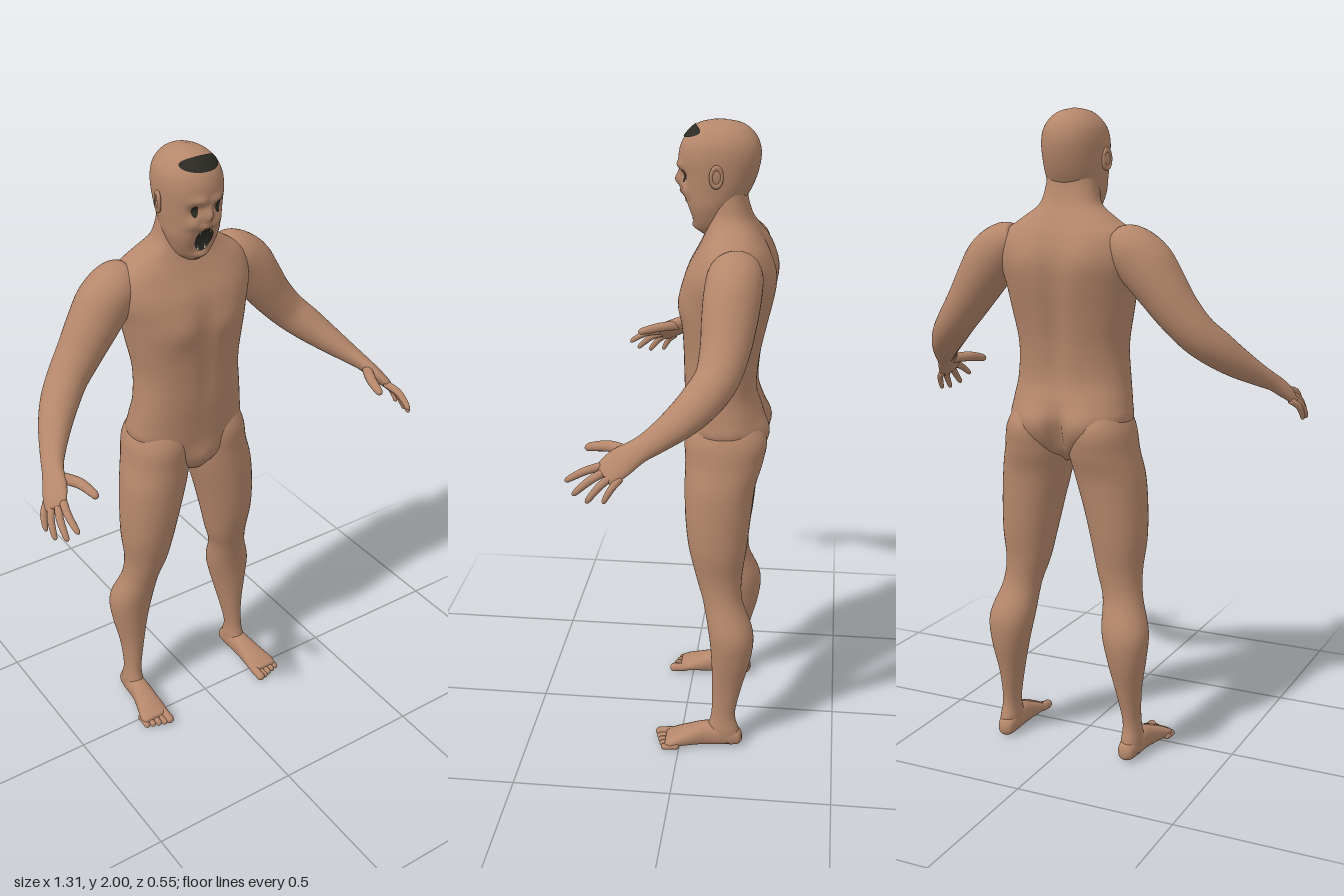
import * as THREE from 'three';

const V = (x, y, z) => new THREE.Vector3(x, y, z);
const mat = (name, color) => {
  const m = new THREE.MeshStandardMaterial({ color });
  m.name = name;
  return m;
};

// Soft bump centred on (x, y), mirrored over the middle plane
const bell = (p, x, y, sx, sy) =>
  Math.exp(-(((Math.abs(p.x) - x) / sx) ** 2) - ((p.y - y) / sy) ** 2);

// Surface through rows [x, y, z, halfWidth, halfDepth]; front sets the depth
// direction, axis fixes the ring plane (otherwise rings follow the path)
function sampler(rows, front, axis, power = 2, bump) {
  const path = new THREE.CatmullRomCurve3(rows.map(r => V(r[0], r[1], r[2])), false, 'catmullrom', 0.5);
  const size = new THREE.CatmullRomCurve3(rows.map(r => V(r[3], r[4], 0)), false, 'catmullrom', 0.5);
  const round = c => Math.sign(c) * Math.abs(c) ** (2 / power);
  const at = (t, angle) => {
    const T = axis || path.getTangent(t);
    const F = front.clone().addScaledVector(T, -front.dot(T)).normalize();
    const U = F.clone().cross(T).normalize();
    const s = size.getPoint(t);
    const p = path.getPoint(t)
      .addScaledVector(U, s.x * round(Math.cos(angle)))
      .addScaledVector(F, s.y * round(Math.sin(angle)));
    if (bump) bump(p);
    return p;
  };
  return { at, path };
}

function loft(rows, { front, axis, power, bump, sides = 32, steps = 5 }) {
  const { at, path } = sampler(rows, front, axis, power, bump);
  const n = sides, m = (rows.length - 1) * steps;
  const pos = [], idx = [];
  for (let j = 0; j <= m; j++)
    for (let i = 0; i < n; i++) pos.push(...at(j / m, (i / n) * Math.PI * 2).toArray());
  pos.push(...path.getPoint(0).toArray(), ...path.getPoint(1).toArray());
  const first = n * (m + 1), last = first + 1;
  for (let i = 0; i < n; i++) {
    const k = (i + 1) % n;
    for (let j = 0; j < m; j++) {
      const a = j * n + i, b = j * n + k;
      idx.push(a, b, b + n, a, b + n, a + n);
    }
    idx.push(first, k, i, last, m * n + i, m * n + k);
  }
  const g = new THREE.BufferGeometry();
  g.setAttribute('position', new THREE.Float32BufferAttribute(pos, 3));
  g.setIndex(idx);
  g.computeVertexNormals();
  return g;
}

// Rows given as [x, y, halfWidth, frontZ, backZ]
const upright = rows => rows.map(([x, y, w, f, b]) => [x, y, (f + b) / 2, w, (f - b) / 2]);

export function createModel() {
  const group = new THREE.Group();
  const skin = mat('skin', 0xb5876b);
  const dark = mat('dark', 0x2b2a24);
  const ivory = mat('ivory', 0xcfc3ae);
  const add = (name, geometry, material = skin) => {
    const mesh = new THREE.Mesh(geometry, material);
    mesh.name = name;
    group.add(mesh);
    return mesh;
  };
  const X = V(1, 0, 0), Y = V(0, 1, 0), Z = V(0, 0, 1);

  // Torso and neck with chest, spine and seat modelling
  add('torso', loft(upright([
    [0, 0.94, 0.04, -0.04, -0.16], [0, 0.99, 0.13, -0.012, -0.225], [0, 1.07, 0.192, -0.004, -0.25],
    [0, 1.13, 0.19, 0, -0.24], [0, 1.2, 0.18, 0.005, -0.222], [0, 1.3, 0.174, 0.008, -0.23],
    [0, 1.4, 0.19, 0.012, -0.25], [0, 1.48, 0.205, 0.012, -0.265], [0, 1.56, 0.225, 0.0, -0.27],
    [0, 1.63, 0.215, -0.035, -0.25], [0, 1.68, 0.15, -0.058, -0.222], [0, 1.72, 0.098, -0.065, -0.198],
    [0, 1.77, 0.082, -0.062, -0.182], [0, 1.82, 0.075, -0.07, -0.175],
  ]), {
    front: Z, axis: Y, power: 2.35, sides: 64, bump: p => {
      if (p.z > -0.1) {
        p.z += 0.014 * bell(p, 0.085, 1.47, 0.07, 0.06) - 0.006 * bell(p, 0, 1.47, 0.02, 0.1);
        p.z += 0.012 * bell(p, 0, 1.0, 0.04, 0.04) - 0.005 * bell(p, 0, 1.28, 0.015, 0.1);
      } else {
        p.z += 0.022 * bell(p, 0, 1.42, 0.03, 0.2) + 0.04 * bell(p, 0, 1.02, 0.02, 0.08);
        p.z -= 0.022 * bell(p, 0.085, 1.05, 0.06, 0.06) + 0.01 * bell(p, 0.1, 1.56, 0.06, 0.1);
      }
    },
  }));

  // Head with brow, sockets, nose, cheeks and open mouth
  const headRows = upright([
    [0, 1.668, 0.025, -0.045, -0.085], [0, 1.695, 0.058, -0.022, -0.12], [0, 1.75, 0.082, 0.002, -0.155],
    [0, 1.8, 0.09, 0.012, -0.188], [0, 1.85, 0.095, 0.02, -0.208], [0, 1.9, 0.097, 0.025, -0.217],
    [0, 1.94, 0.09, 0.014, -0.21], [0, 1.97, 0.071, -0.008, -0.19], [0, 1.99, 0.045, -0.035, -0.16],
    [0, 2.0, 0.012, -0.075, -0.115],
  ]);
  const headBump = p => {
    if (p.z < -0.07) return;
    p.z += 0.01 * bell(p, 0.03, 1.872, 0.025, 0.013) - 0.014 * bell(p, 0.037, 1.843, 0.016, 0.017);
    p.z += 0.02 * bell(p, 0, 1.825, 0.013, 0.024) + 0.009 * bell(p, 0.045, 1.8, 0.02, 0.016);
    p.z += 0.012 * bell(p, 0, 1.79, 0.03, 0.01) - 0.022 * bell(p, 0, 1.742, 0.026, 0.034);
    p.z += 0.012 * bell(p, 0, 1.69, 0.03, 0.014);
  };
  add('head', loft(headRows, { front: Z, axis: Y, power: 2.1, sides: 96, steps: 8, bump: headBump }));

  // Thin round patches that follow the head surface
  const headSurface = sampler(headRows, Z, Y, 2.1, headBump);
  const onHead = (y, turn, lift) => {
    let lo = 0, hi = 1;
    for (let k = 0; k < 24; k++) {
      const mid = (lo + hi) / 2;
      if (headSurface.path.getPoint(mid).y < y) lo = mid; else hi = mid;
    }
    const p = headSurface.at(lo, Math.PI / 2 + turn);
    return p.addScaledVector(V(p.x, p.y - 1.85, p.z + 0.1).normalize(), lift);
  };
  const patch = (name, turn, y, halfTurn, halfY) => {
    const g = new THREE.RingGeometry(0, 1, 36, 8);
    const a = g.attributes.position;
    for (let i = 0; i < a.count; i++) {
      const p = onHead(y + a.getY(i) * halfY, turn + a.getX(i) * halfTurn, 0.003);
      a.setXYZ(i, p.x, p.y, p.z);
    }
    g.computeVertexNormals();
    add(name, g, dark);
  };
  patch('hairPatch', 0, 1.968, 0.95, 0.018);
  patch('mouth', 0, 1.745, 0.36, 0.038);

  // Fangs in the open mouth
  for (const [x, y, flip] of [[0.016, 1.77, 1], [-0.016, 1.77, 1], [0.013, 1.722, 0], [-0.013, 1.722, 0]]) {
    const tooth = add('tooth', new THREE.ConeGeometry(0.004, 0.018, 10), ivory);
    tooth.position.copy(onHead(y, Math.asin(x / 0.085), 0.004));
    tooth.rotation.x = flip * Math.PI;
  }

  for (const s of [1, -1]) {
    const side = s > 0 ? 'left' : 'right';
    const mirror = rows => rows.map(([x, ...rest]) => [x * s, ...rest]);

    patch(side + 'Eye', s * 0.4, 1.842, 0.11, 0.018);

    // Ear: rim and inner bowl
    const ear = new THREE.Group();
    ear.name = side + 'Ear';
    const rim = new THREE.Mesh(new THREE.TorusGeometry(0.018, 0.006, 10, 28), skin);
    const bowl = new THREE.Mesh(new THREE.SphereGeometry(0.018, 20, 12), skin);
    rim.name = 'earRim';
    bowl.name = 'earBowl';
    bowl.scale.z = 0.3;
    ear.add(rim, bowl);
    ear.scale.set(0.9, 1.45, 1);
    ear.position.set(s * 0.1, 1.852, -0.094);
    ear.rotation.set(0, s * (Math.PI / 2 + 0.3), 0);
    group.add(ear);

    // Leg from hip to ankle
    add(side + 'Leg', loft(upright(mirror([
      [0.1, 1.14, 0.06, -0.04, -0.2], [0.105, 1.06, 0.096, -0.006, -0.255], [0.11, 0.98, 0.106, -0.006, -0.248],
      [0.126, 0.9, 0.108, -0.006, -0.226], [0.143, 0.8, 0.098, -0.01, -0.215], [0.155, 0.7, 0.086, -0.022, -0.205],
      [0.161, 0.6, 0.07, -0.046, -0.192], [0.177, 0.52, 0.062, -0.07, -0.195], [0.198, 0.42, 0.073, -0.09, -0.232],
      [0.205, 0.33, 0.06, -0.1, -0.228], [0.208, 0.22, 0.038, -0.104, -0.2], [0.215, 0.12, 0.027, -0.103, -0.18],
      [0.217, 0.06, 0.032, -0.09, -0.193], [0.217, 0.02, 0.028, -0.1, -0.195],
    ])), { front: Z, axis: Y.clone().negate(), sides: 40, power: 2.1 }));

    // Foot from heel to ball
    add(side + 'Foot', loft(mirror([
      [0.215, 0.03, -0.204, 0.01, 0.012], [0.215, 0.034, -0.19, 0.026, 0.028], [0.217, 0.042, -0.14, 0.033, 0.038],
      [0.22, 0.042, -0.08, 0.035, 0.039], [0.226, 0.032, -0.02, 0.044, 0.029], [0.231, 0.024, 0.02, 0.05, 0.02],
      [0.232, 0.02, 0.045, 0.044, 0.012],
    ]), { front: Y, axis: Z, sides: 28, power: 2.3 }));

    // Toes, largest on the inside
    for (let i = 0; i < 5; i++) {
      const r = i ? 0.0105 : 0.0145, tip = 0.084 - 0.0065 * i, x = 0.195 + 0.0195 * i;
      const toe = add(side + 'Toe', new THREE.CapsuleGeometry(r, 0.04, 6, 14));
      toe.rotation.x = Math.PI / 2 + 0.1;
      toe.position.set(s * x, r + 0.004, tip - r - 0.02);
    }

    // Arm flowing into the flat palm
    const handFront = V(0.76 * s, 0.65, 0.1);
    add(side + 'Arm', loft(mirror([
      [0.16, 1.615, -0.16, 0.06, 0.05], [0.205, 1.595, -0.16, 0.08, 0.074], [0.255, 1.55, -0.157, 0.083, 0.084],
      [0.3, 1.49, -0.152, 0.08, 0.077], [0.35, 1.42, -0.145, 0.072, 0.067], [0.405, 1.355, -0.128, 0.064, 0.06],
      [0.455, 1.307, -0.09, 0.06, 0.055], [0.5, 1.264, -0.04, 0.052, 0.045], [0.545, 1.222, 0.025, 0.04, 0.032],
      [0.57, 1.198, 0.07, 0.036, 0.024], [0.59, 1.172, 0.115, 0.043, 0.02], [0.608, 1.148, 0.148, 0.041, 0.015],
      [0.615, 1.138, 0.163, 0.032, 0.009],
    ]), { front: handFront, sides: 36 }));

    // Fingers as [name, knuckle, tip, radius]
    for (const [name, a, b, r] of [
      ['IndexFinger', V(0.592, 1.158, 0.165), V(0.602, 1.11, 0.272), 0.012],
      ['MiddleFinger', V(0.603, 1.148, 0.155), V(0.626, 1.08, 0.248), 0.012],
      ['RingFinger', V(0.614, 1.14, 0.137), V(0.644, 1.067, 0.208), 0.0115],
      ['LittleFinger', V(0.62, 1.134, 0.115), V(0.648, 1.07, 0.16), 0.0105],
      ['Thumb', V(0.572, 1.19, 0.09), V(0.516, 1.175, 0.23), 0.017],
    ]) {
      const bend = name === 'Thumb' ? V(-0.012, 0.008, 0) : V(0.008, 0.009, 0);
      const rows = [[0, 1], [0.45, 0.95], [0.8, 0.8], [0.95, 0.6], [1, 0.2]].map(([t, k]) => {
        const p = a.clone().lerp(b, t).addScaledVector(bend, Math.sin(t * Math.PI));
        return [p.x, p.y, p.z, r * k, r * k];
      });
      add(side + name, loft(mirror(rows), { front: handFront, sides: 14, steps: 4 }));
    }
  }
  return group;
}
